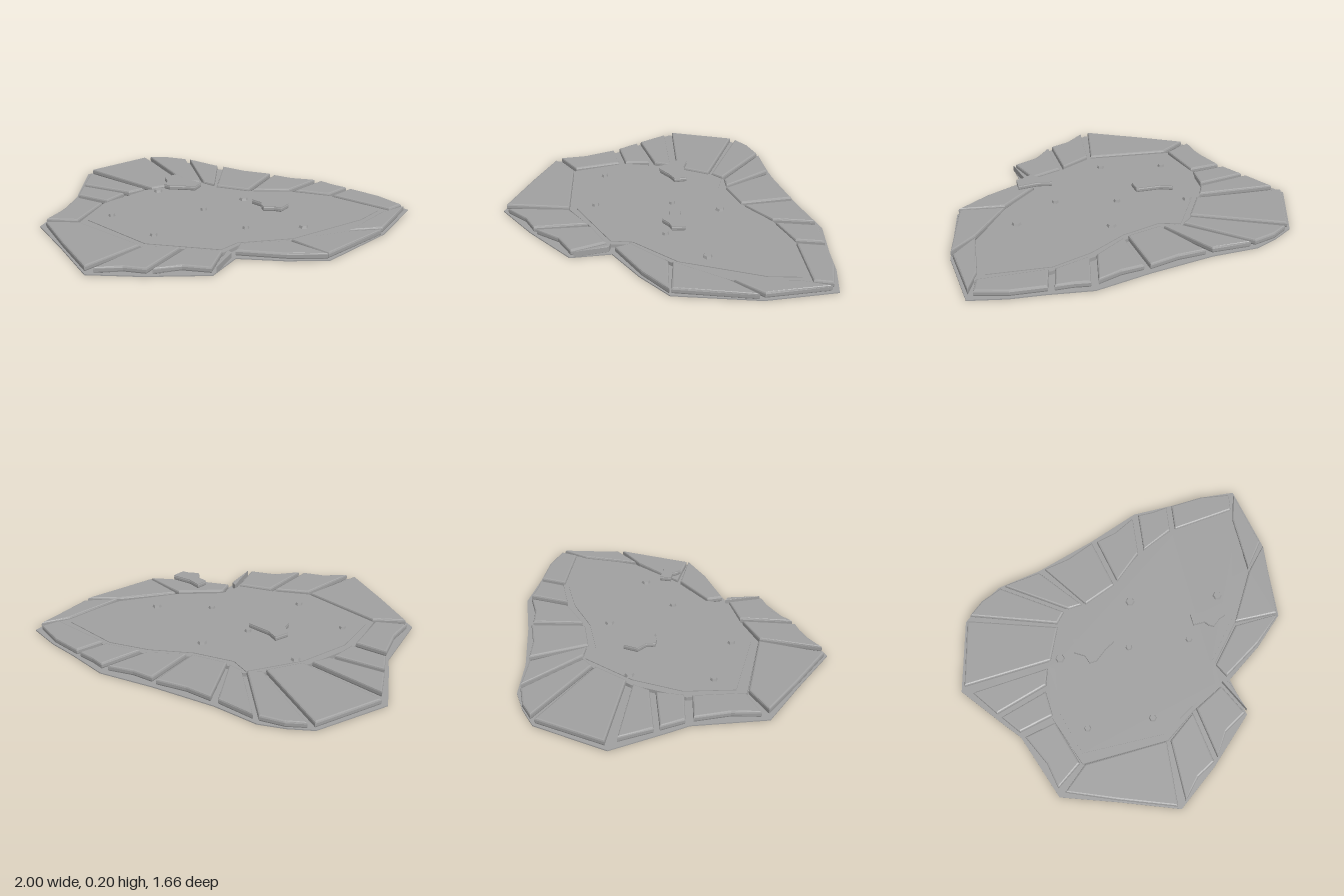
import * as THREE from 'three';

// Plan outlines are flat lists of x, z pairs in hundredths of a unit.
const ground = [-100, -40, -77, -75, -64, -80, -50, -83, -25, -79, 11, -78, 42, -79, 65, -71, 82, -66, 100, -58,
  94, -20, 75, 22, 54, 31, 29, 38, 25, 60, -7, 74, -35, 83, -61, 61, -86, 41, -86, 1, -90, -10];
const rim = [-34, -44, -25, -49, -16, -46, 7, -47, 30, -55, 55, -57, 92, -48, 88, -38, 76, -11, 51, 12,
  27, 26, 22, 39, 1, 42, -20, 48, -66, 33, -66, 2, -52, -25];
const floor = [-26, -47, -16, -41, 7, -43, 30, -51, 53, -54, 85, -45, 79, -29, 51, 9, 25, 25, 20, 36,
  -20, 44, -63, 28, -61, 1, -48, -24];

const backTiles = [
  [-97, -41, -76, -74, -35, -42, -49, -27],
  [-73, -76, -63, -80, -50, -81, -27, -48, -34, -44],
  [-47, -81, -26, -77, -16, -46, -24, -48],
  [-22, -77, -7, -75, 10, -76, 6, -46, -14, -45],
  [13, -75, 25, -74, 39, -76, 29, -55, 9, -47],
  [43, -76, 51, -73, 60, -71, 53, -57, 33, -55],
  [63, -70, 81, -65, 96, -57, 91, -48, 56, -56],
  [98, -55, 93, -21, 77, -11, 88, -42],
];
const frontTiles = [
  [93, -18, 74, 21, 51, 12, 76, -9],
  [74, 22, 54, 30, 28, 36, 27, 27, 50, 14],
  [24, 37, 27, 39, 26, 58],
  [24, 59, 9, 62, -3, 71, 3, 42, 22, 39],
  [-6, 72, -18, 74, -31, 81, -19, 49, 0, 43],
  [-36, 81, -61, 60, -82, 41, -65, 34, -21, 48],
  [-84, 37, -82, 22, -84, 3, -66, 5, -67, 32],
  [-85, -1, -89, -14, -61, -13, -65, 1],
  [-90, -17, -95, -35, -53, -24, -59, -16],
];
const stones = [
  { y: 0.12, outline: [-33, -27, -27, -23, -14, -20, -15, -13, -21, -12, -29, -9, -33, -10, -33, -15, -37, -20] },
  { y: 0.173, outline: [28, -1, 35, 2, 46, 3, 44, 10, 40, 10, 35, 12, 33, 10, 32, 7, 26, 5] },
];
// Pebbles: x, z, radius
const pebbles = [[8, -32, 2.7], [-44, -25, 2.7], [-8, -9, 2], [52, -7, 2.7], [23, 6, 2], [-53, 18, 2], [-20, 33, 2.2]];

// Extrudes a plan outline from y0 to y1; the optional bevel stays inside the outline.
function slab(outline, y0, y1, bevel = 0) {
  const pts = [];
  for (let i = 0; i < outline.length; i += 2) {
    pts.push(new THREE.Vector2(outline[i] / 100, -outline[i + 1] / 100));
  }
  const rise = Math.min(bevel, (y1 - y0) * 0.4);
  const geo = new THREE.ExtrudeGeometry(new THREE.Shape(pts), {
    depth: y1 - y0 - 2 * rise, bevelEnabled: bevel > 0, bevelSize: bevel, bevelOffset: -bevel,
    bevelThickness: rise, bevelSegments: 2,
  });
  geo.rotateX(-Math.PI / 2);
  geo.translate(0, y0 + rise, 0);
  return geo;
}

export function createModel() {
  const model = new THREE.Group();
  const grey = new THREE.MeshStandardMaterial({ color: 0xa0a0a0 });
  grey.name = 'stone grey';
  const add = (name, geo, parent = model) => {
    const mesh = new THREE.Mesh(geo, grey);
    mesh.name = name;
    parent.add(mesh);
    return mesh;
  };

  // Thin ground sheet, rim and central floor
  add('ground', slab(ground, 0, 0.006));
  add('rim', slab(rim, 0.006, 0.026));
  add('floor', slab(floor, 0.026, 0.03));

  // Ring of bevelled paving slabs
  const paving = new THREE.Group();
  paving.name = 'paving';
  model.add(paving);
  [...backTiles, ...frontTiles].forEach((t, i) => {
    add('tile' + (i + 1), slab(t, 0.006, 0.041, t.length < 8 ? 0.003 : 0.01), paving);
  });

  // Small flat pebbles on the floor
  for (const [x, z, r] of pebbles) {
    const geo = new THREE.CylinderGeometry(r / 125, r / 100, 0.014, 6).toNonIndexed();
    geo.computeVertexNormals();
    add('pebble', geo).position.set(x / 100, 0.037, z / 100);
  }

  // Floating stones, each with a thin top sheet
  for (const { y, outline } of stones) {
    const stone = new THREE.Group();
    stone.name = 'floatingStone';
    model.add(stone);
    add('stoneBody', slab(outline, y, y + 0.027, 0.008), stone);
    add('stoneTop', slab(outline, y + 0.026, y + 0.029), stone);
  }
  return model;
}
